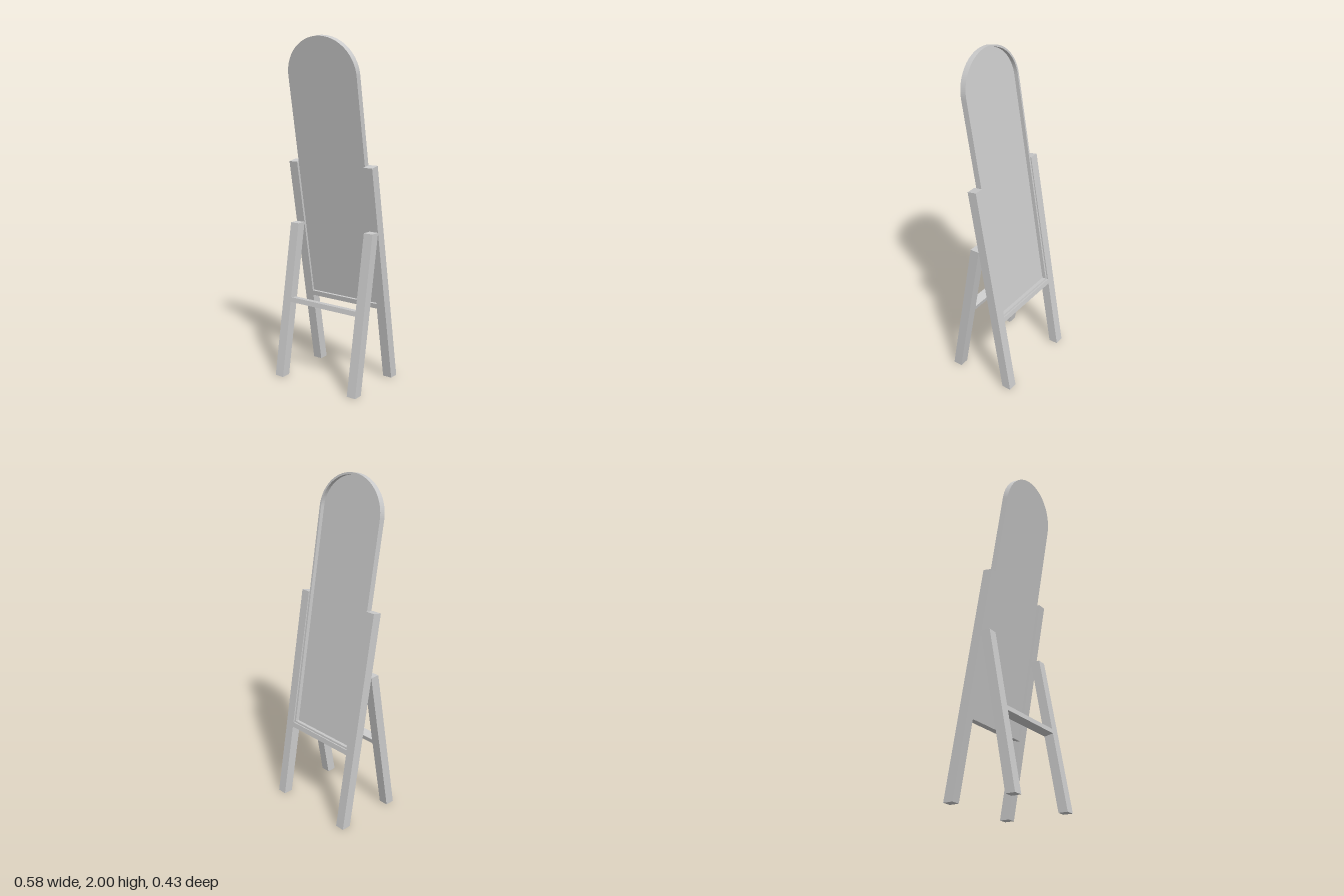
import * as THREE from 'three';

const material = new THREE.MeshStandardMaterial({ color: 0xcccccc, flatShading: true });
const smooth = new THREE.MeshStandardMaterial({ color: 0xcccccc });

const SLOPE = 0.1753;   // lean of the legs, z per unit of y
const HALF = 0.235;     // half width between the legs
const LEG_W = 0.0575;

// Extrude a side profile of [z, y] points across x from x0 to x1
function sideExtrude(name, points, x0, x1) {
  const shape = new THREE.Shape(points.map(([z, y]) => new THREE.Vector2(z, y)));
  const geo = new THREE.ExtrudeGeometry(shape, { depth: x1 - x0, bevelEnabled: false });
  geo.rotateY(-Math.PI / 2).translate(x1, 0, 0);
  const mesh = new THREE.Mesh(geo, material);
  mesh.name = name;
  return mesh;
}

// Upright outline with an arched top; inset shrinks it evenly
function archShape(height, inset) {
  const r = HALF - inset, rise = 0.218 - inset, spring = height - 0.218;
  const s = new THREE.Shape();
  s.moveTo(-r, inset);
  s.lineTo(r, inset);
  s.lineTo(r, spring);
  s.absellipse(0, spring, r, rise, 0, Math.PI, false);
  s.closePath();
  return s;
}

export function createModel() {
  const model = new THREE.Group();
  model.name = 'standingMirror';

  const rearFront = y => -0.16 + SLOPE * y;
  const rearBack = y => -0.217 + SLOPE * y;
  const foreFront = y => 0.217 - SLOPE * y;
  const foreBack = y => 0.16 - SLOPE * y;

  // Long rear legs (square-cut tops) and short front legs (level tops)
  const rearLeg = [[rearBack(0), 0], [rearFront(0), 0], [rearFront(1.284), 1.284], [rearBack(1.294), 1.294]];
  const frontLeg = [[foreBack(0), 0], [foreFront(0), 0], [foreFront(0.915), 0.915], [foreBack(0.915), 0.915]];
  for (const [side, x0] of [['left', HALF], ['right', -HALF - LEG_W]]) {
    model.add(sideExtrude(side + 'RearLeg', rearLeg, x0, x0 + LEG_W));
    model.add(sideExtrude(side + 'FrontLeg', frontLeg, x0, x0 + LEG_W));
  }

  // Crossbars, tilted with their legs
  model.add(sideExtrude('rearCrossbar', [
    [rearBack(0.45), 0.45], [rearFront(0.44), 0.44], [rearFront(0.47), 0.47], [rearBack(0.48), 0.48],
  ], -HALF, HALF));
  model.add(sideExtrude('frontCrossbar', [
    [foreBack(0.44), 0.44], [foreFront(0.45), 0.45], [foreFront(0.478), 0.478], [foreBack(0.468), 0.468],
  ], -HALF, HALF));

  // Arched mirror: a rim around a panel that is flush at the front, recessed at the back
  const mirror = new THREE.Group();
  mirror.name = 'mirror';
  const height = 1.544, rim = 0.0115, depth = 0.035, panelDepth = 0.011;
  const frameShape = archShape(height, 0);
  frameShape.holes.push(new THREE.Path(archShape(height, rim).getPoints(32)));
  const addPart = (name, shape, d) => {
    const geo = new THREE.ExtrudeGeometry(shape, { depth: d, bevelEnabled: false, curveSegments: 32 });
    geo.translate(0, 0, depth / 2 - d);
    const mesh = new THREE.Mesh(geo, smooth);
    mesh.name = name;
    mirror.add(mesh);
  };
  addPart('mirrorFrame', frameShape, depth);
  addPart('mirrorPanel', archShape(height, rim), panelDepth);
  mirror.position.set(0, 0.475, -0.107);
  mirror.rotation.x = THREE.MathUtils.degToRad(9.75);
  model.add(mirror);

  return model;
}
